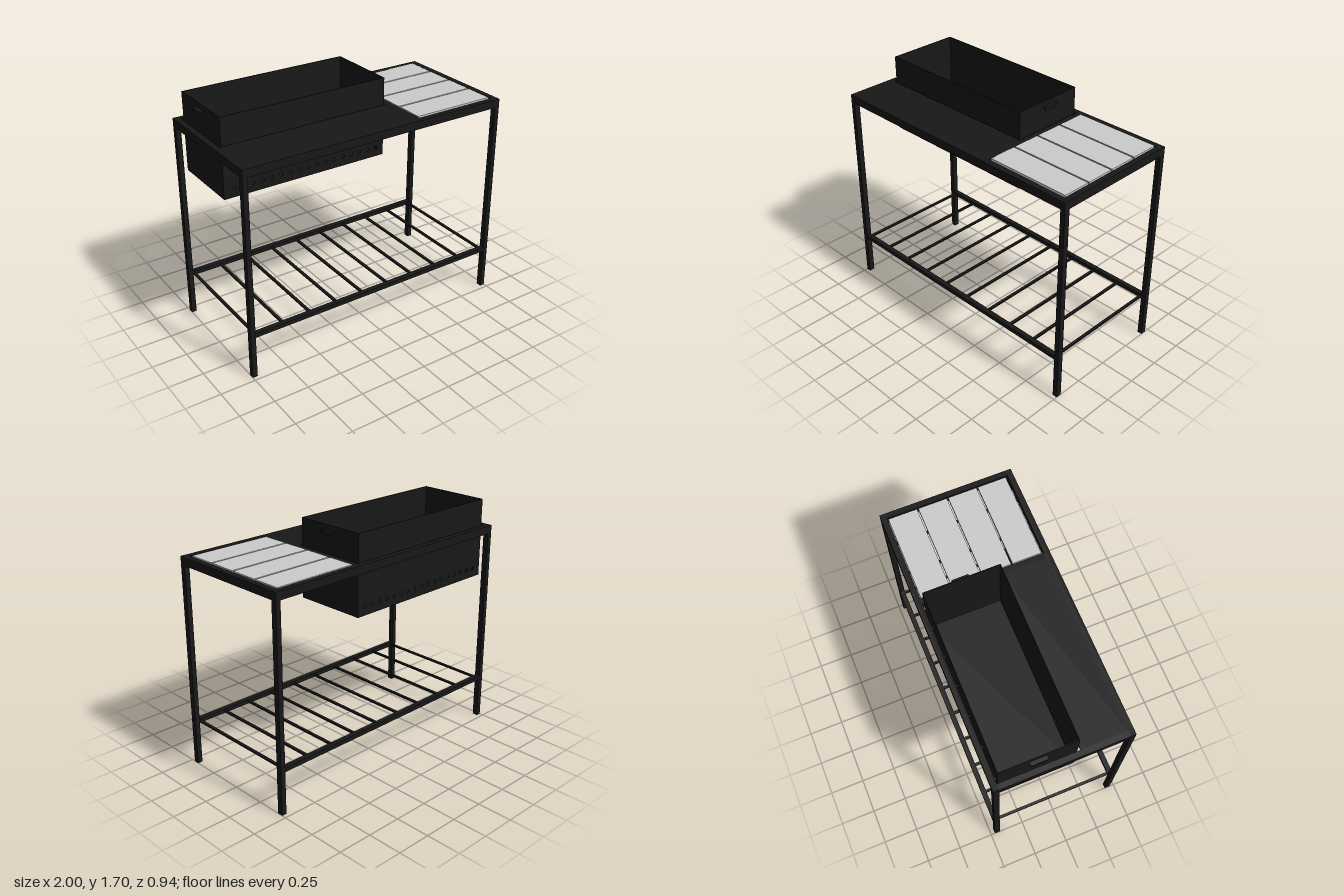
import * as THREE from 'three';

const steel = new THREE.MeshStandardMaterial({ color: 0x181818 });
const tileGrey = new THREE.MeshStandardMaterial({ color: 0xcccccc });

// Box given by its extents along each axis
function slab(parent, name, [x0, x1], [y0, y1], [z0, z1], material = steel) {
  const mesh = new THREE.Mesh(new THREE.BoxGeometry(x1 - x0, y1 - y0, z1 - z0), material);
  mesh.position.set((x0 + x1) / 2, (y0 + y1) / 2, (z0 + z1) / 2);
  mesh.name = name;
  parent.add(mesh);
  return mesh;
}

function group(parent, name) {
  const g = new THREE.Group();
  g.name = name;
  parent.add(g);
  return g;
}

const TOP = 1.505, UNDER = 1.447;      // table frame heights
const X = 1, Z = 0.47, BAR = 0.04;     // half sizes and bar width
const DIVIDER = [0.295, 0.335];
const BOX = { x: [-0.945, 0.285], y: [1.135, 1.695], z: [-0.42, 0.105], wall: 0.006 };

// Four legs and the outer top frame with its divider
function buildFrame(root) {
  const frame = group(root, 'tableFrame');
  const h = [UNDER, TOP];
  for (const s of [-1, 1]) {
    const zBar = s > 0 ? [Z - BAR, Z] : [-Z, -Z + BAR];
    const xBar = s > 0 ? [X - BAR, X] : [-X, -X + BAR];
    slab(frame, 'longTopBar', [-X, X], h, zBar);
    slab(frame, 'sideTopBar', xBar, h, [-Z + BAR, Z - BAR]);
    for (const t of [-1, 1]) {
      slab(frame, 'leg', t > 0 ? [X - 0.035, X] : [-X, -X + 0.035], [0, UNDER], zBar);
    }
  }
  slab(frame, 'dividerBar', DIVIDER, h, [-Z + BAR, Z - BAR]);
  // Solid worktop in front of the fire box
  slab(frame, 'worktop', [-X + BAR, DIVIDER[0]], [TOP - 0.012, TOP], [0.115, Z - BAR]);
  // Spacer tabs around the fire box opening
  for (let i = 0; i < 6; i++) {
    const x = -0.925 + i * 0.21;
    slab(frame, 'boxTab', [x - 0.01, x + 0.01], [TOP - 0.025, TOP - 0.012], [0.1, 0.125]);
    slab(frame, 'boxTab', [x - 0.01, x + 0.01], [TOP - 0.025, TOP - 0.012], [-0.435, -0.415]);
  }
}

// Lower shelf: two long rails joined by thin rungs
function buildShelf(root) {
  const shelf = group(root, 'lowerShelf');
  for (const z of [-0.45, 0.45]) {
    slab(shelf, 'shelfRail', [-0.967, 0.967], [0.303, 0.333], [z - 0.018, z + 0.018]);
  }
  const rungs = 10;
  for (let i = 0; i < rungs; i++) {
    const x = -0.955 + (1.91 * i) / (rungs - 1);
    slab(shelf, 'shelfRung', [x - 0.01, x + 0.01], [0.31, 0.322], [-0.435, 0.435]);
  }
}

// Open fire box with a row of air holes in the front and back walls
function buildFireBox(root) {
  const fireBox = group(root, 'fireBox');
  const { x, y, z, wall } = BOX;
  const face = new THREE.Shape();
  face.moveTo(x[0], y[0]);
  face.lineTo(x[1], y[0]);
  face.lineTo(x[1], y[1]);
  face.lineTo(x[0], y[1]);
  face.closePath();
  for (let i = 0; i < 17; i++) {
    const hole = new THREE.Path();
    hole.absarc(-0.87 + (1.095 * i) / 16, 1.2, 0.014, 0, Math.PI * 2, true);
    face.holes.push(hole);
  }
  const wallGeometry = new THREE.ExtrudeGeometry(face, { depth: wall, bevelEnabled: false, curveSegments: 8 });
  for (const [name, at] of [['frontWall', z[1] - wall], ['backWall', z[0]]]) {
    const mesh = new THREE.Mesh(wallGeometry, steel);
    mesh.position.z = at;
    mesh.name = name;
    fireBox.add(mesh);
  }
  const inner = [z[0] + wall, z[1] - wall];
  slab(fireBox, 'sideWall', [x[0], x[0] + wall], y, inner);
  slab(fireBox, 'sideWall', [x[1] - wall, x[1]], y, inner);
  slab(fireBox, 'boxFloor', [x[0] + wall, x[1] - wall], [y[0], y[0] + wall], inner);

  // Folded lip handles on both ends
  const grip = [-0.217, -0.103];
  for (const [edge, s] of [[x[0], -1], [x[1], 1]]) {
    const span = (a, b) => [edge + s * a, edge + s * b].sort((p, q) => p - q);
    slab(fireBox, 'handleLip', span(0, 0.027), [1.655, 1.66], grip);
    slab(fireBox, 'handleEdge', span(0.022, 0.027), [1.635, 1.655], grip);
  }
}

// Four grey tiles resting on small tabs
function buildTiles(root) {
  const tiles = group(root, 'tiledSide');
  const pitch = 0.212, start = -0.425;
  for (let i = 0; i < 4; i++) {
    const z = start + i * pitch;
    slab(tiles, 'tile', [0.34, 0.95], [TOP - 0.018, TOP + 0.004], [z, z + 0.202], tileGrey);
    for (const zt of [z + 0.035, z + 0.167]) {
      slab(tiles, 'tileTab', [0.335, 0.355], [TOP - 0.03, TOP - 0.018], [zt - 0.025, zt + 0.025]);
      slab(tiles, 'tileTab', [0.94, 0.96], [TOP - 0.03, TOP - 0.018], [zt - 0.025, zt + 0.025]);
    }
  }
  // Spacer tabs in the joints
  for (let i = 0; i < 5; i++) {
    const z = start - 0.005 + i * pitch;
    for (const x of [0.545, 0.775]) {
      slab(tiles, 'jointTab', [x - 0.01, x + 0.01], [TOP - 0.03, TOP - 0.018], [z - 0.012, z + 0.012]);
    }
  }
}

export function createModel() {
  const root = new THREE.Group();
  root.name = 'grillTable';
  buildFrame(root);
  buildShelf(root);
  buildFireBox(root);
  buildTiles(root);
  return root;
}
